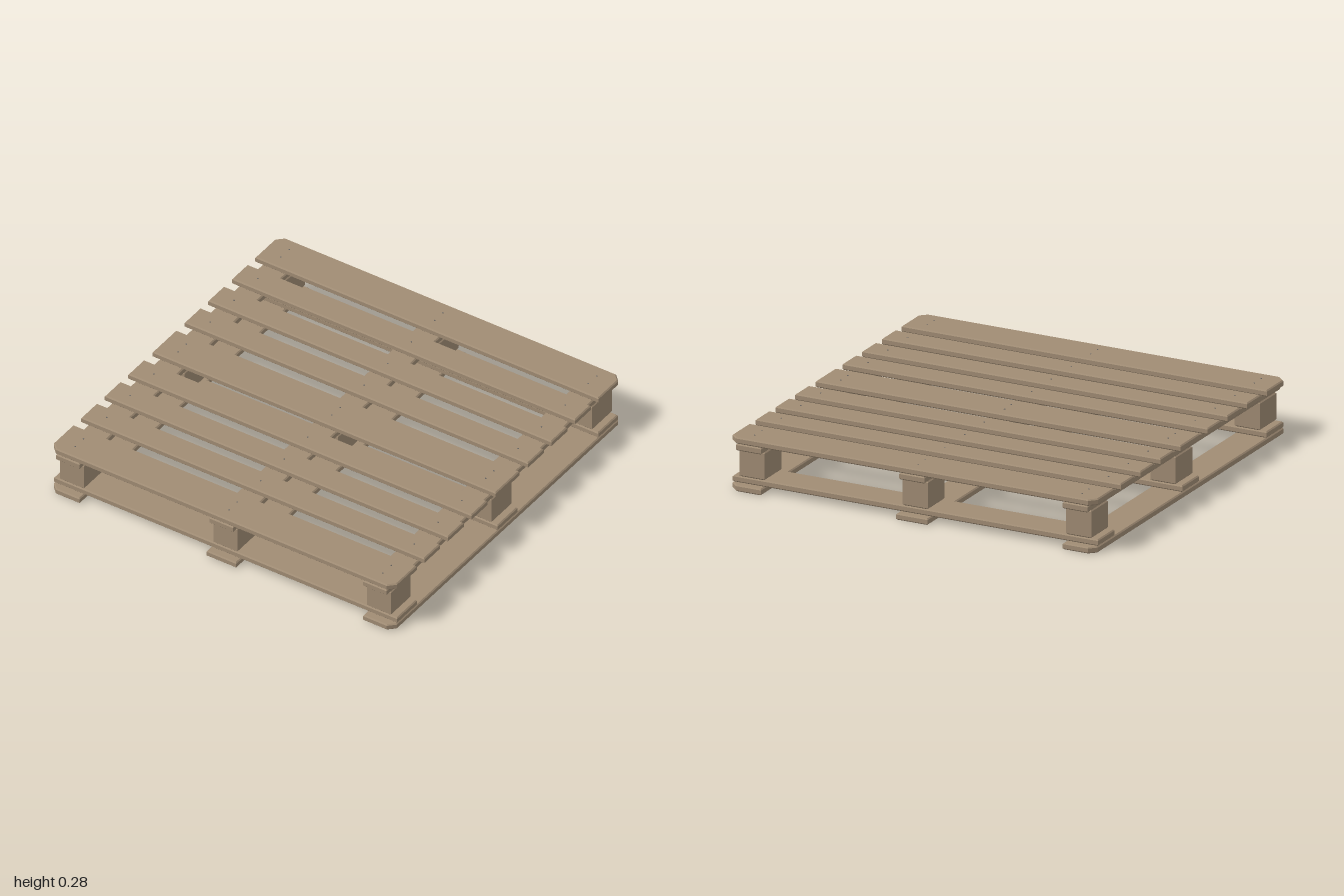
import * as THREE from 'three';

const BEVEL = 0.006;
const wood = new THREE.MeshStandardMaterial({ color: 0xa08c74 });
wood.name = 'wood';
const steel = new THREE.MeshStandardMaterial({ color: 0x6e6a66 });
steel.name = 'nail steel';

// Chamfered plank between two corners; each clip cuts one plan corner.
// clips order: (x0,z0), (x1,z0), (x1,z1), (x0,z1)
function plank(name, [x0, x1], [y0, y1], [z0, z1], clips = [0, 0, 0, 0]) {
  const corners = [[x0, z0], [x1, z0], [x1, z1], [x0, z1]];
  const pts = [];
  corners.forEach(([x, z], i) => {
    const c = clips[i];
    if (!c) { pts.push(new THREE.Vector2(x, -z)); return; }
    const sx = x === x0 ? 1 : -1, sz = z === z0 ? 1 : -1;
    const alongX = new THREE.Vector2(x + sx * c, -z);
    const alongZ = new THREE.Vector2(x, -(z + sz * c));
    pts.push(...(i % 2 ? [alongX, alongZ] : [alongZ, alongX]));
  });
  const geo = new THREE.ExtrudeGeometry(new THREE.Shape(pts), {
    depth: y1 - y0 - 2 * BEVEL, bevelEnabled: true, bevelSegments: 1,
    bevelSize: BEVEL, bevelThickness: BEVEL, bevelOffset: -BEVEL,
  });
  geo.rotateX(-Math.PI / 2);
  geo.translate(0, y0 + BEVEL, 0);
  const mesh = new THREE.Mesh(geo, wood);
  mesh.name = name;
  return mesh;
}

export function createModel() {
  const pallet = new THREE.Group();
  pallet.name = 'pallet';
  const CLIP = 0.036;

  // Layer heights, from the floor up
  const runnerY = [0, 0.033], crossY = [0.033, 0.066], blockY = [0.066, 0.21];
  const stringerY = [0.21, 0.245], deckY = [0.245, 0.278];

  const runnersX = [[-1, -0.825], [-0.087, 0.087], [0.825, 1]];
  const columnsX = [[-0.963, -0.825], [-0.069, 0.069], [0.825, 0.963]];
  const rowsZ = [[-0.963, -0.79], [-0.087, 0.087], [0.79, 0.963]];

  // Bottom runners, outer ones with clipped outer corners
  const runnerClips = [[CLIP, 0, 0, CLIP], [0, 0, 0, 0], [0, CLIP, CLIP, 0]];
  runnersX.forEach((x, i) => pallet.add(plank('bottomRunner', x, runnerY, [-1, 1], runnerClips[i])));

  // Cross boards above the runners
  rowsZ.forEach((z) => pallet.add(plank('crossBoard', [-1, 1], crossY, z)));

  // Spacer blocks and the stringers resting on them
  columnsX.forEach((x) => {
    rowsZ.forEach((z) => pallet.add(plank('block', x, blockY, z)));
    pallet.add(plank('stringer', x, stringerY, [-1, 1]));
  });

  // Deck boards: wide at the ends and middle, narrow between
  const nailGeo = new THREE.CylinderGeometry(0.004, 0.004, 0.004, 8);
  const centres = [-0.896, -0.657, -0.451, -0.246, 0, 0.246, 0.451, 0.657, 0.896];
  centres.forEach((c, i) => {
    const wide = i % 4 === 0;
    const half = wide ? 0.104 : 0.069;
    const clips = i === 0 ? [CLIP, CLIP, 0, 0] : i === 8 ? [0, 0, CLIP, CLIP] : [0, 0, 0, 0];
    pallet.add(plank('deckBoard', [-1, 1], deckY, [c - half, c + half], clips));

    // Nails over every stringer
    for (const x of [-0.896, 0, 0.896]) {
      for (const dz of wide ? [-0.036, 0.036] : [0]) {
        const nail = new THREE.Mesh(nailGeo, steel);
        nail.name = 'nail';
        nail.position.set(x, deckY[1], c + dz);
        pallet.add(nail);
      }
    }
  });

  return pallet;
}
